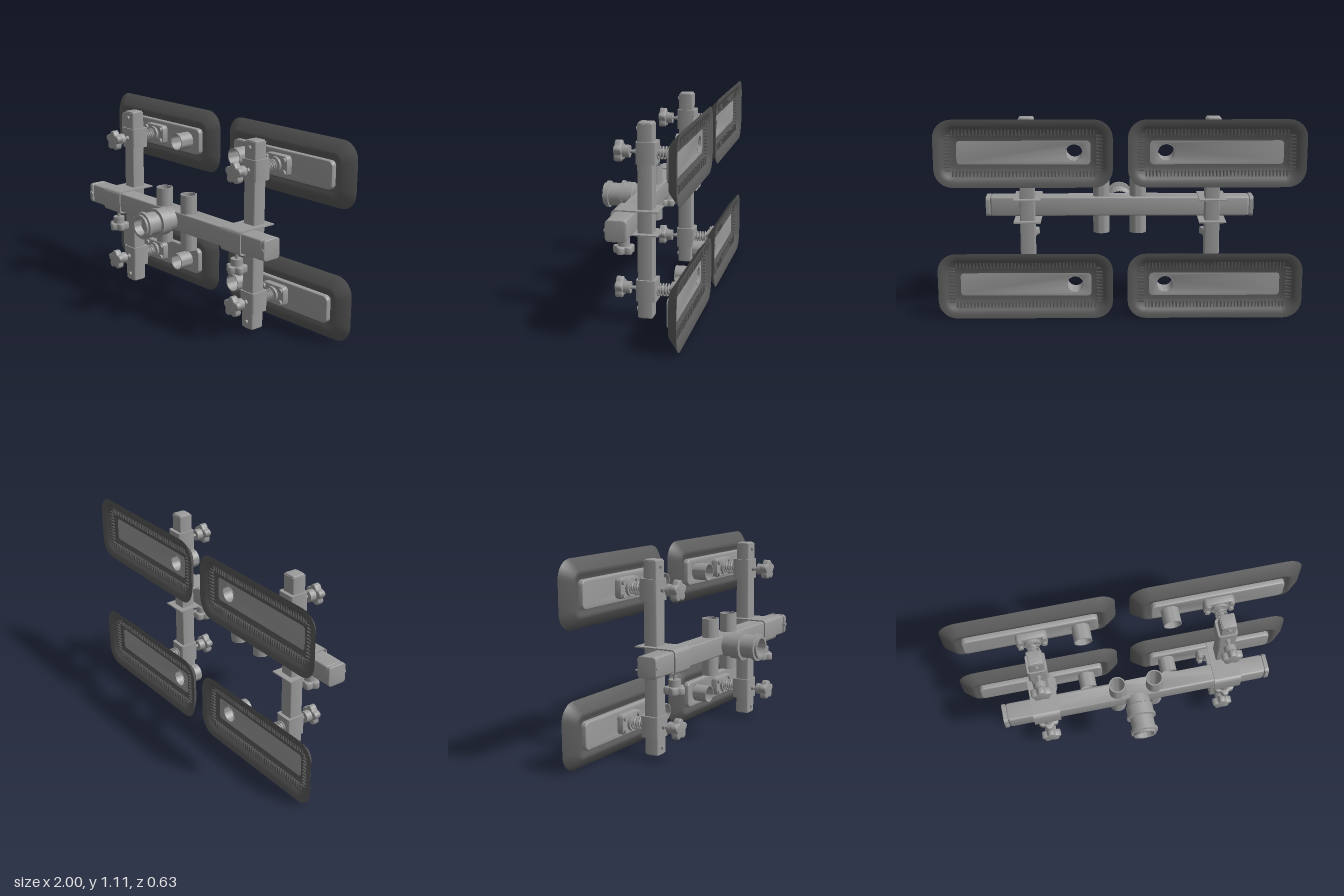
import * as THREE from 'three';
import { mergeGeometries, toCreasedNormals } from 'three/addons/utils/BufferGeometryUtils.js';

const metal = new THREE.MeshStandardMaterial({ color: 0x9a9a9a });
metal.name = 'grey metal';
const rubber = new THREE.MeshStandardMaterial({ color: 0x5a5a5a });
rubber.name = 'dark rubber';

const BAR_X = 0.52, MID_Y = 0.56, CUP_Y = [0.186, 0.926];

function add(parent, name, geometry, material = metal, x = 0, y = 0, z = 0) {
  const mesh = new THREE.Mesh(geometry, material);
  mesh.name = name;
  mesh.position.set(x, y, z);
  parent.add(mesh);
  return mesh;
}

// Counter-clockwise outline of a rounded rectangle
function roundedPoints(hw, hh, r, steps = 6) {
  const pts = [];
  [[1, 1], [-1, 1], [-1, -1], [1, -1]].forEach(([sx, sy], k) => {
    for (let i = 0; i <= steps; i++) {
      const a = (k + i / steps) * Math.PI / 2;
      pts.push(new THREE.Vector2(sx * (hw - r) + r * Math.cos(a), sy * (hh - r) + r * Math.sin(a)));
    }
  });
  return pts;
}
const roundedShape = (hw, hh, r) => new THREE.Shape(roundedPoints(hw, hh, r));

function punch(shape, x, y, r) {
  shape.holes.push(new THREE.Path().absarc(x, y, r, 0, Math.PI * 2, true));
}

// Extrusion along z, centred, with its bevel kept inside the given size
function extrude(shape, depth, bevel = 0) {
  const g = new THREE.ExtrudeGeometry(shape, {
    depth: depth - 2 * bevel, bevelEnabled: bevel > 0, bevelThickness: bevel,
    bevelSize: bevel, bevelSegments: 3, curveSegments: 24,
  });
  g.translate(0, 0, bevel - depth / 2);
  return toCreasedNormals(g, 0.6);
}

function lathe(pairs, segments = 32) {
  return toCreasedNormals(new THREE.LatheGeometry(pairs.map(p => new THREE.Vector2(...p)), segments), 0.6);
}
const pipe = (ri, ro, h) => lathe([[ri, -h / 2], [ro, -h / 2], [ro, h / 2], [ri, h / 2], [ri, -h / 2]]);
const rod = (r, h) => new THREE.CylinderGeometry(r, r, h, 20);

// Star knob, grip towards +z, rod running back to z = 0
function starKnob(name, length) {
  const knob = new THREE.Group();
  knob.name = name;
  const pts = [];
  for (let i = 0; i < 60; i++) {
    const a = i / 60 * Math.PI * 2, r = 0.044 + 0.008 * Math.cos(5 * (a - Math.PI / 2));
    pts.push(new THREE.Vector2(r * Math.cos(a), r * Math.sin(a)));
  }
  add(knob, 'knobGrip', extrude(new THREE.Shape(pts), 0.042, 0.007), metal, 0, 0, length - 0.021);
  add(knob, 'knobHub', rod(0.033, 0.038).rotateX(Math.PI / 2), metal, 0, 0, length - 0.06);
  add(knob, 'knobRod', rod(0.009, length).rotateX(Math.PI / 2), metal, 0, 0, length / 2 - 0.02);
  add(knob, 'knobCollar', rod(0.014, 0.014).rotateX(Math.PI / 2), metal, 0, 0, 0.002);
  return knob;
}

// Rubber skirt: rounded rectangles joined along a closed profile of [inset, z]
function skirtGeometry() {
  const profile = [[0, -0.315], [0.06, -0.262], [0.072, -0.26], [0.085, -0.263], [0.1, -0.272],
    [0.12, -0.272], [0.12, -0.278], [0.1, -0.28], [0.06, -0.292], [0.045, -0.303], [0.025, -0.313], [0, -0.315]];
  const positions = [], index = [];
  const n = 28;
  profile.forEach(([d, z]) => {
    for (const p of roundedPoints(0.48 - d, 0.185 - d, Math.max(0.1 - d * 0.75, 0.02))) positions.push(p.x, p.y, z);
  });
  for (let i = 0; i < profile.length - 1; i++) {
    for (let j = 0; j < n; j++) {
      const a = i * n + j, b = i * n + (j + 1) % n;
      index.push(a, b, b + n, a, b + n, a + n);
    }
  }
  const g = new THREE.BufferGeometry();
  g.setAttribute('position', new THREE.Float32BufferAttribute(positions, 3));
  g.setIndex(index);
  return toCreasedNormals(g, 0.6);
}

// Row of little gripping ribs around the underside of the skirt
function ribGeometry() {
  const ribs = [];
  const put = (w, h, x, y) => ribs.push(new THREE.BoxGeometry(w, h, 0.014).translate(x, y, -0.289));
  for (const s of [-1, 1]) {
    for (let i = -20; i <= 20; i++) put(0.007, 0.034, i * 0.019, s * 0.112);
    for (let i = -5; i <= 5; i++) put(0.034, 0.007, s * 0.407, i * 0.019);
  }
  return mergeGeometries(ribs);
}

class Helix extends THREE.Curve {
  getPoint(t, target = new THREE.Vector3()) {
    const a = t * Math.PI * 2 * 5;
    return target.set(0.031 * Math.cos(a), 0.031 * Math.sin(a), -0.195 + 0.08 * t);
  }
}

// Suction cup; side is the sign of its x, the pipe sits towards the middle
function suctionCup(side, parts) {
  const cup = new THREE.Group();
  cup.name = 'suctionCup';
  const holeX = -side * 0.272;
  add(cup, 'rubberSkirt', parts.skirt, rubber);
  add(cup, 'rubberRibs', parts.ribs, rubber);
  const plate = roundedShape(0.366, 0.071, 0.022);
  punch(plate, holeX, 0, 0.052);
  add(cup, 'backingPlate', extrude(plate, 0.036, 0.006), metal, 0, 0, -0.26);
  add(cup, 'airPipe', pipe(0.045, 0.05, 0.125).rotateX(Math.PI / 2), metal, holeX, 0, -0.2165);
  add(cup, 'mountBlock', extrude(roundedShape(0.082, 0.052, 0.02), 0.043, 0.004), metal, 0, 0, -0.226);
  add(cup, 'mountBoss', rod(0.046, 0.02).rotateX(Math.PI / 2), metal, 0, 0, -0.2);
  for (const x of [-0.066, 0.066]) for (const y of [-0.034, 0.034])
    add(cup, 'mountBolt', rod(0.015, 0.016).rotateX(Math.PI / 2), metal, x, y, -0.2);
  add(cup, 'springRod', rod(0.018, 0.1).rotateX(Math.PI / 2), metal, 0, 0, -0.155);
  add(cup, 'spring', parts.spring);
  // Collar that slides on the upright, with its locking knob
  const collar = extrude(roundedShape(0.054, 0.055, 0.014), 0.117).rotateX(Math.PI / 2);
  add(cup, 'slidingCollar', collar, metal, 0, 0, -0.06);
  const knob = starKnob('collarKnob', 0.112);
  cup.add(knob);
  return cup;
}

// U-shaped strap joining an upright to the cross bar
function strapGeometry() {
  const s = new THREE.Shape(), t = 0.007, r = 0.022, h = 0.067;
  s.moveTo(-0.13, -h);
  s.lineTo(0.12 - r, -h);
  s.absarc(0.12 - r, -h + r, r, -Math.PI / 2, 0, false);
  s.absarc(0.12 - r, h - r, r, 0, Math.PI / 2, false);
  s.lineTo(-0.13, h);
  s.lineTo(-0.13, h - t);
  s.lineTo(0.12 - r, h - t);
  s.absarc(0.12 - r, h - r, r - t, Math.PI / 2, 0, true);
  s.absarc(0.12 - r, -h + r, r - t, 0, -Math.PI / 2, true);
  s.lineTo(-0.13, -h + t);
  return extrude(s, 0.152).rotateY(-Math.PI / 2);
}

export function createModel() {
  const model = new THREE.Group();
  model.name = 'suctionLifter';

  // Cross bar with two through holes, end caps and screws
  const barShape = roundedShape(0.73, 0.043, 0.01);
  for (const x of [-0.105, 0.105]) punch(barShape, x, 0, 0.052);
  add(model, 'crossBar', extrude(barShape, 0.112, 0.01).rotateX(-Math.PI / 2), metal, 0, MID_Y, 0.05);
  for (const s of [-1, 1]) {
    add(model, 'crossBarCap', extrude(roundedShape(0.053, 0.054, 0.016), 0.025, 0.004).rotateY(Math.PI / 2),
      metal, s * 0.75, MID_Y, 0.05);
    add(model, 'capScrew', rod(0.012, 0.016).rotateX(Math.PI / 2), metal, s * 0.748, MID_Y, 0.104);
    add(model, 'handlePipe', pipe(0.04, 0.047, 0.32), metal, s * 0.105, MID_Y, 0.052);
  }

  // Central stepped coupling
  add(model, 'centreCoupling', lathe([[0.068, 0.09], [0.068, 0.14], [0.076, 0.145], [0.076, 0.2], [0.083, 0.2],
    [0.083, 0.213], [0.066, 0.215], [0.066, 0.282], [0.077, 0.284], [0.077, 0.303], [0.064, 0.305], [0.064, 0.318],
    [0.05, 0.318], [0.047, 0.27], [0, 0.27]], 40).rotateX(Math.PI / 2), metal, 0, MID_Y, 0);

  // Uprights, straps and the four cups
  const parts = { skirt: skirtGeometry(), ribs: ribGeometry(),
    spring: new THREE.TubeGeometry(new Helix(), 120, 0.005, 6) };
  const strap = strapGeometry();
  for (const s of [-1, 1]) {
    const x = s * BAR_X;
    add(model, 'upright', extrude(roundedShape(0.042, 0.041, 0.008), 1.04).rotateX(Math.PI / 2), metal, x, 0.557, -0.054);
    add(model, 'uprightCaps', extrude(roundedShape(0.034, 0.034, 0.008), 1.056, 0.004).rotateX(Math.PI / 2),
      metal, x, 0.557, -0.054);
    for (const y of [0.07, 1.048])
      add(model, 'uprightScrew', rod(0.011, 0.018).rotateX(Math.PI / 2), metal, x, y, -0.01);
    add(model, 'strap', strap, metal, x, MID_Y, 0);
    const knob = starKnob('strapKnob', 0.118);
    knob.rotation.x = Math.PI / 2;
    knob.position.set(x, 0.494, 0.07);
    model.add(knob);
    for (const y of CUP_Y) {
      const cup = suctionCup(s, parts);
      cup.position.set(x, y, 0);
      model.add(cup);
    }
  }
  return model;
}
